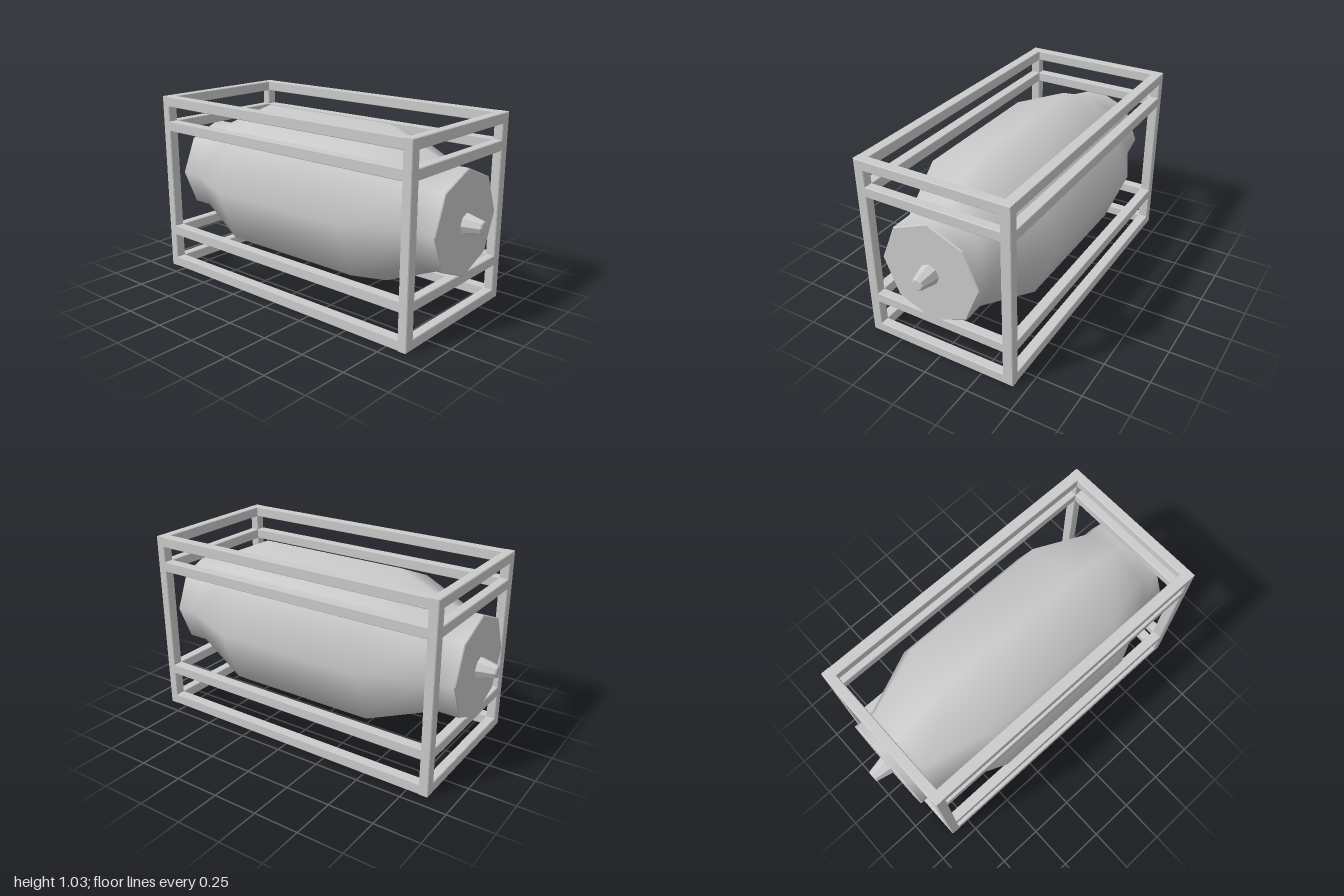
import * as THREE from 'three';
import { RoundedBoxGeometry } from 'three/addons/geometries/RoundedBoxGeometry.js';

const HALF_W = 0.432, HEIGHT = 1.03, HALF_L = 0.867, BAR = 0.057, BEVEL = 0.004;
const AXIS_Y = 0.542;
// Bottom edge of each horizontal rail
const RAILS = [0, 0.198, 0.831, HEIGHT - BAR];

export function createModel() {
  const model = new THREE.Group();
  model.name = 'framedTank';
  const smooth = new THREE.MeshStandardMaterial({ color: 0xcccccc });
  const flat = new THREE.MeshStandardMaterial({ color: 0xcccccc, flatShading: true });

  const add = (parent, name, geometry, material, x = 0, y = 0, z = 0) => {
    const mesh = new THREE.Mesh(geometry, material);
    mesh.name = name;
    mesh.position.set(x, y, z);
    parent.add(mesh);
    return mesh;
  };

  // Rectangle from its corners, as a list of points
  const rect = (x0, y0, x1, y1) => [[x0, y0], [x1, y0], [x1, y1], [x0, y1]]
    .map(([x, y]) => new THREE.Vector2(x, y));

  // End frames: a bevelled plate with a window between each pair of rails
  const frame = new THREE.Group();
  frame.name = 'frame';
  model.add(frame);
  const plate = new THREE.Shape(rect(-HALF_W + BEVEL, BEVEL, HALF_W - BEVEL, HEIGHT - BEVEL));
  const inner = HALF_W - BAR + BEVEL;
  for (let i = 0; i < 3; i++) {
    plate.holes.push(new THREE.Path(
      rect(-inner, RAILS[i] + BAR - BEVEL, inner, RAILS[i + 1] + BEVEL).reverse()));
  }
  const depth = 0.052;
  const endGeometry = new THREE.ExtrudeGeometry(plate, {
    depth: depth - 2 * BEVEL, bevelEnabled: true,
    bevelThickness: BEVEL, bevelSize: BEVEL, bevelSegments: 1,
  });
  endGeometry.translate(0, 0, -depth / 2 + BEVEL);
  for (const s of [1, -1]) {
    add(frame, s > 0 ? 'frontFrame' : 'backFrame', endGeometry, flat, 0, 0, s * (HALF_L - depth / 2));
  }

  // Long rails joining the two end frames on each side
  const railGeometry = new RoundedBoxGeometry(BAR, BAR, 2 * (HALF_L - depth) + 0.02, 1, BEVEL);
  for (const s of [1, -1]) {
    for (const y of RAILS) {
      add(frame, s > 0 ? 'leftRail' : 'rightRail', railGeometry, smooth, s * (HALF_W - BAR / 2), y + BAR / 2, 0);
    }
  }

  // Eight-sided tank with tapered shoulders, smooth shaded
  const half = [[0.43, 0.43], [0.28, 0.775], [0.28, 0.896]];
  const profile = [
    ...half.map(([r, z]) => new THREE.Vector2(r, -z)).reverse(),
    ...half.map(([r, z]) => new THREE.Vector2(r, z)),
  ];
  const body = new THREE.LatheGeometry(profile, 8).rotateX(Math.PI / 2);
  add(model, 'tankBody', body, smooth, 0, AXIS_Y, 0);

  // End cap with a small bevelled rim, and a tapered nozzle
  const capGeometry = new THREE.CylinderGeometry(0.275, 0.28, 0.005, 8).rotateX(Math.PI / 2);
  const nozzleGeometry = new THREE.CylinderGeometry(0.034, 0.056, 0.095, 8).rotateX(Math.PI / 2);
  const tipGeometry = new THREE.CylinderGeometry(0.028, 0.034, 0.006, 8).rotateX(Math.PI / 2);
  for (const s of [1, -1]) {
    const end = new THREE.Group();
    end.name = s > 0 ? 'frontEnd' : 'backEnd';
    end.position.y = AXIS_Y;
    end.rotation.y = s > 0 ? 0 : Math.PI;
    add(end, 'endCap', capGeometry, flat, 0, 0, 0.8985);
    add(end, 'nozzle', nozzleGeometry, flat, 0, 0, 0.9465);
    add(end, 'nozzleTip', tipGeometry, flat, 0, 0, 0.997);
    model.add(end);
  }
  return model;
}
